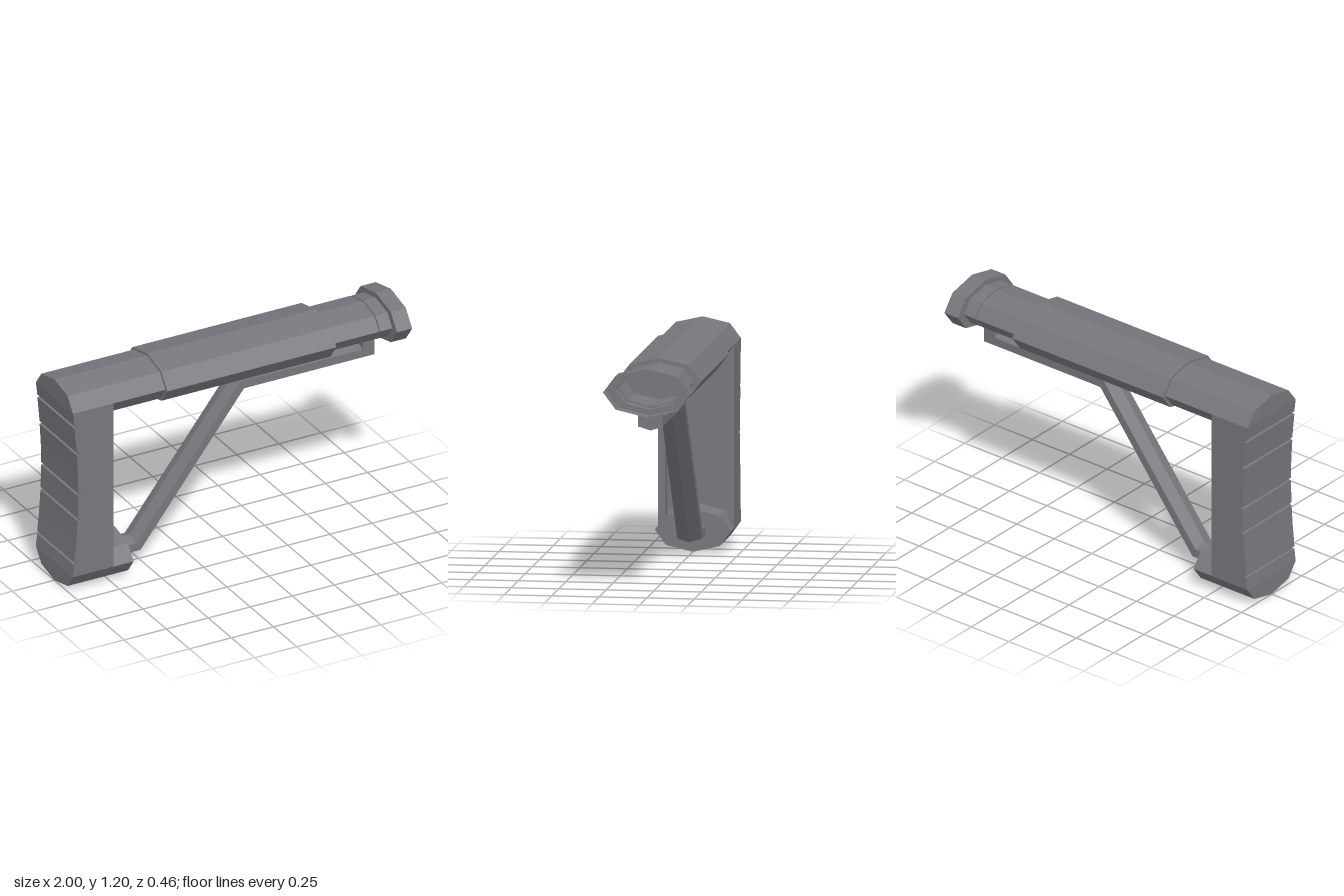
import * as THREE from 'three';

const grey = new THREE.MeshStandardMaterial({ color: 0x77767c, flatShading: true, side: THREE.DoubleSide });
grey.name = 'gunmetalGrey';

const AXIS = 1.078; // height of the tube centre line

// Points of a flattened octagon, or of its upper or lower half
function octagon(ry, rz, from = 0, to = 7) {
  const points = [];
  for (let k = from; k <= to; k++) {
    const a = (k * Math.PI) / 4;
    points.push(new THREE.Vector2(rz * Math.cos(a), ry * Math.sin(a)));
  }
  return points;
}

// Solid prism along x from a z-y outline
function prism(points, x0, x1, y) {
  const g = new THREE.ExtrudeGeometry(new THREE.Shape(points), { depth: x1 - x0, bevelEnabled: false });
  return g.rotateY(Math.PI / 2).translate(x0, y, 0);
}

// Surface through rings of [x, y, z] points
function loft(rings) {
  const positions = [];
  for (let i = 0; i < rings.length - 1; i++) {
    const a = rings[i], b = rings[i + 1], n = a.length;
    for (let j = 0; j < n; j++) {
      const k = (j + 1) % n;
      positions.push(...a[j], ...a[k], ...b[k], ...a[j], ...b[k], ...b[j]);
    }
  }
  const g = new THREE.BufferGeometry();
  g.setAttribute('position', new THREE.Float32BufferAttribute(positions, 3));
  g.computeVertexNormals();
  return g;
}

// Butt pad side outline: hollowed rear edge with small grooves
function padGeometry(frontX, halfWidth) {
  const rearX = (y) => -0.968 - 0.032 * Math.pow(Math.abs(y - 0.597) / 0.482, 1.7);
  const shape = new THREE.Shape();
  shape.moveTo(frontX, 0.115);
  shape.lineTo(frontX, AXIS);
  shape.lineTo(-1, AXIS);
  for (const y of [0.995, 0.835, 0.72, 0.59, 0.445, 0.32, 0.19]) {
    const x = rearX(y);
    if (y === 0.72 || y === 0.32) {
      shape.lineTo(x, y);
    } else {
      shape.lineTo(x, y + 0.008);
      shape.lineTo(x + 0.012, y + 0.006);
      shape.lineTo(x + 0.012, y - 0.006);
      shape.lineTo(x, y - 0.008);
    }
  }
  shape.lineTo(-1, 0.115);
  const g = new THREE.ExtrudeGeometry(shape, { depth: halfWidth * 2, bevelEnabled: false });
  return g.translate(0, 0, -halfWidth);
}

export function createModel() {
  const model = new THREE.Group();
  model.name = 'shoulderStock';
  const add = (name, geometry, parent = model) => {
    const mesh = new THREE.Mesh(geometry, grey);
    mesh.name = name;
    parent.add(mesh);
    return mesh;
  };

  // Main tube: only its upper half reaches the rear face
  add('rearTubeCap', prism(octagon(0.11, 0.2, 0, 4), -1, -0.9, AXIS));
  add('rearTube', prism(octagon(0.11, 0.2), -0.9, -0.45, AXIS));
  add('sleeve', prism(octagon(0.121, 0.22), -0.45, 0.555, AXIS));

  // Hollow front tube with a groove and an open flange: [x, ry, rz]
  const profile = [
    [0.55, 0.098, 0.18], [0.83, 0.098, 0.18], [0.83, 0.09, 0.165], [0.838, 0.09, 0.165],
    [0.838, 0.098, 0.18], [0.91, 0.098, 0.18], [0.91, 0.127, 0.23], [1, 0.127, 0.23],
  ];
  add('frontTubeAndFlange', loft(profile.map(([x, ry, rz]) =>
    octagon(ry, rz).map((p) => [x, AXIS + p.y, p.x]))));

  // Butt with a channel between two front rails
  const butt = new THREE.Group();
  butt.name = 'butt';
  model.add(butt);
  add('buttPad', padGeometry(-0.85, 0.2), butt);
  for (const side of [-1, 1]) {
    const rail = new THREE.BoxGeometry(0.09, AXIS - 0.115, 0.035);
    rail.translate(-0.805, (AXIS + 0.115) / 2, side * 0.1825);
    add(side > 0 ? 'frontSideRail' : 'backSideRail', rail, butt);
  }

  // Foot: only its lower half reaches the rear face
  add('footHeel', prism(octagon(0.112, 0.2, 4, 8), -1, -0.85, 0.114));
  add('foot', prism(octagon(0.112, 0.2), -0.85, -0.64, 0.114));

  // Bent brace of six-sided section, mitred at both bends: [x, y, lean]
  const section = [[0.043, 0], [0.022, 0.065], [-0.024, 0.065], [-0.043, 0], [-0.024, -0.065], [0.022, -0.065]];
  const path = [[-0.7, 0.113, 0], [-0.535, 0.113, -0.46], [0.081, 0.907, -0.44], [0.868, 0.907, 0]];
  const rings = path.map(([x, y, lean]) => section.map(([dy, z]) => [x + lean * dy, y + dy, z]));
  rings.push(section.map(() => [0.868, 0.907, 0]));
  add('brace', loft(rings));

  // Lug joining the brace to the front tube
  add('braceLug', new THREE.BoxGeometry(0.07, 0.11, 0.13).translate(0.833, 0.94, 0));

  return model;
}
